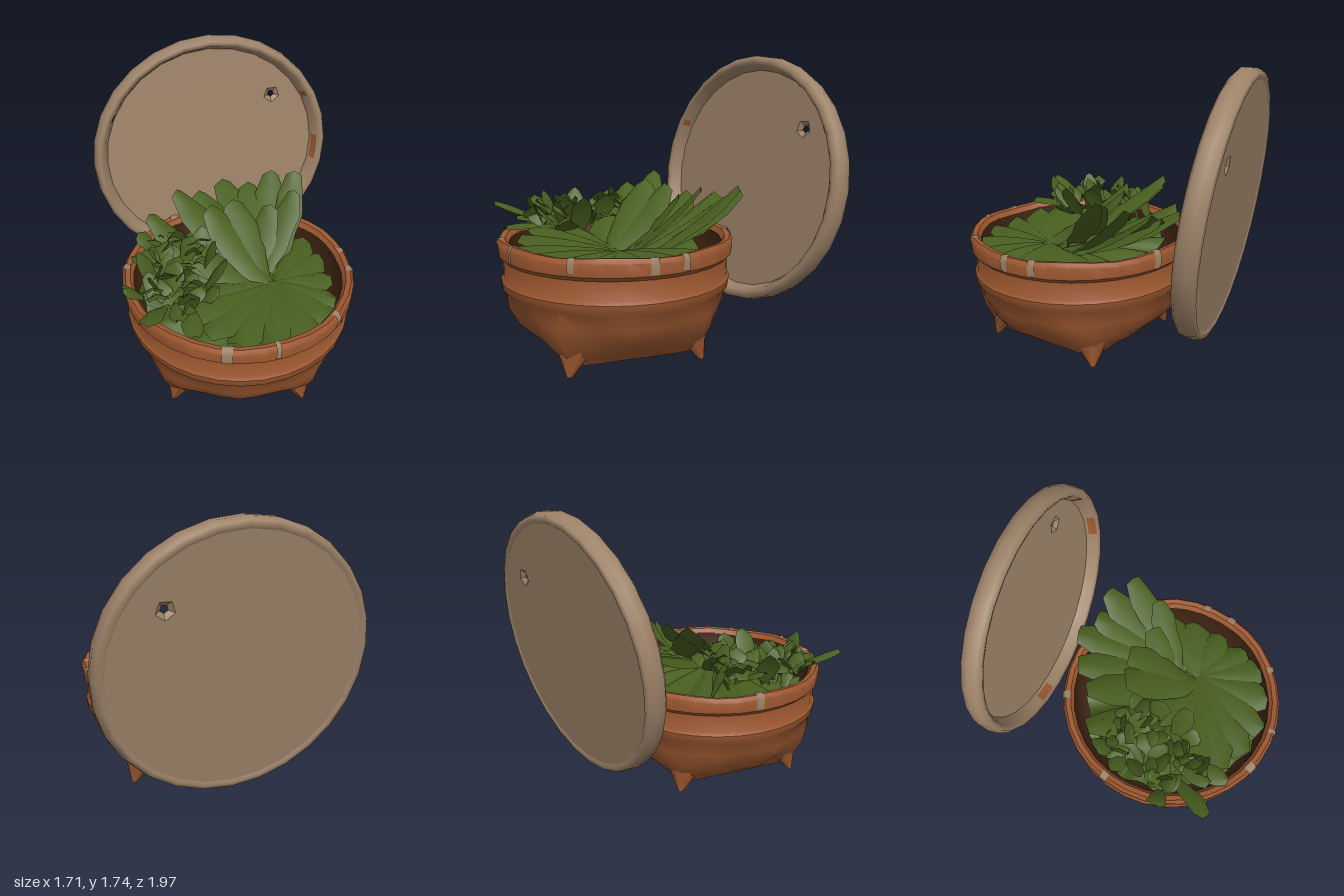
import * as THREE from 'three';
import { toCreasedNormals } from 'three/addons/utils/BufferGeometryUtils.js';

const mat = (name, color) => {
  const m = new THREE.MeshStandardMaterial({ color, side: THREE.DoubleSide });
  m.name = name;
  return m;
};
const V = (x, y, z) => new THREE.Vector3(x, y, z);
const pts = (list) => list.map(([x, y]) => new THREE.Vector2(x, y));
const CORNER = 0.675; // direction of the first foot

export function createModel() {
  const clay = mat('terracotta', 0x9d5830);
  const stone = mat('stone', 0x9d8268);
  const leafGreen = mat('leaf green', 0x485f1f);
  const dark = mat('dark inside', 0x3c2210);

  let seed = 11;
  const rnd = () => (seed = (seed * 16807) % 2147483647) / 2147483647;
  const model = new THREE.Group();
  const add = (parent, name, geo, material) => {
    const mesh = new THREE.Mesh(geo, material);
    mesh.name = name;
    parent.add(mesh);
    return mesh;
  };

  // Blends the round bowl into a square base and makes the lower wall uneven
  const warp = (geo) => {
    const p = geo.attributes.position;
    for (let i = 0; i < p.count; i++) {
      const x = p.getX(i), y = p.getY(i), z = p.getZ(i);
      const a = Math.atan2(z, x), q = Math.PI / 2;
      const d = ((((a - CORNER) % q) + q) % q) - q / 2;
      const t = Math.pow(THREE.MathUtils.clamp((0.4 - y) / 0.35, 0, 1), 2.6);
      const square = Math.min(0.385 / Math.cos(d), 0.52) / 0.45;
      const dent = y < 0.35 && y > 0.07 ? 0.018 * Math.sin(9 * a + 1) : 0;
      const k = (1 - t + t * square) * (1 + dent);
      const lift = y > 0.66 ? 0.006 * Math.sin(7 * a) : 0;
      p.setXYZ(i, x * k, y + lift, z * k);
    }
    geo.computeVertexNormals();
    return toCreasedNormals(geo, 0.7);
  };

  // Pot
  const pot = new THREE.Group();
  pot.name = 'pot';
  pot.position.set(0.16, 0, 0.29);
  model.add(pot);
  const wall = [[0.45, 0.05], [0.525, 0.12], [0.592, 0.2], [0.632, 0.3], [0.65, 0.385], [0.668, 0.405],
    [0.674, 0.45], [0.66, 0.47], [0.66, 0.575], [0.686, 0.6], [0.692, 0.67], [0.675, 0.695], [0.645, 0.69], [0.625, 0.66]];
  const turned = (list) => new THREE.LatheGeometry(pts(list), 32).rotateY(-CORNER);
  add(pot, 'potWall', warp(turned(wall)), clay);
  add(pot, 'potBase', warp(turned([[0, 0.052], [0.45, 0.052]])), stone);
  add(pot, 'potInside', new THREE.LatheGeometry(pts([[0.63, 0.66], [0.61, 0.5], [0.52, 0.4], [0, 0.38]]), 32), dark);

  // Four pointed feet flaring out of the corners of the base
  for (let k = 0; k < 4; k++) {
    const a = CORNER + (k * Math.PI) / 2;
    const geo = new THREE.CylinderGeometry(0.15, 0.016, 0.2, 8, 3);
    const p = geo.attributes.position;
    for (let i = 0; i < p.count; i++) {
      const h = p.getY(i) / 0.2 + 0.5;
      const r = 0.55 - 0.12 * h;
      p.setXYZ(i, p.getX(i) + r * Math.cos(a), h * 0.2, p.getZ(i) + r * Math.sin(a));
    }
    // Keeps the foot from showing below the base
    for (let i = 0; i < p.count; i++) {
      const x = p.getX(i), z = p.getZ(i), y = p.getY(i);
      const out = x * Math.cos(a) + z * Math.sin(a);
      if (out < 0.5 && y > 0.04) p.setY(i, Math.max(y, 0.08));
    }
    geo.computeVertexNormals();
    add(pot, 'foot', geo, clay);
  }

  // Worn patches over the pot rim: direction in x and z, width, lower edge
  const patches = [[0, 0.69, 0.06, 0.602], [0.27, 0.63, 0.028, 0.612], [0.59, 0.35, 0.038, 0.617],
    [0.68, -0.07, 0.047, 0.607], [0.64, -0.25, 0.042, 0.607], [-0.67, 0.06, 0.047, 0.612],
    [-0.48, -0.5, 0.05, 0.612], [0.06, -0.68, 0.05, 0.602]];
  for (const [x, z, w, y] of patches) {
    const len = w / 0.69, a = Math.atan2(z, x);
    const lift = 0.006 * Math.sin(7 * a) + 0.002;
    const geo = new THREE.LatheGeometry(pts([[0.69, y], [0.696, 0.67 + lift], [0.678, 0.698 + lift], [0.645, 0.694 + lift]]),
      2, Math.atan2(x, z) - len / 2, len);
    add(pot, 'rimPatch', geo, stone);
  }

  // Lid leaning behind the pot, its axis along local z, slightly wider than tall
  const lid = new THREE.Group();
  lid.name = 'lid';
  const n = V(0.36, 0.13, 0.925).normalize();
  const u = V(0, 1, 0).cross(n).normalize();
  lid.quaternion.setFromRotationMatrix(new THREE.Matrix4().makeBasis(u, n.clone().cross(u), n));
  lid.position.set(-0.095, 0.962, -0.635);
  lid.scale.x = 1.025;
  model.add(lid);
  const ring = [[0.72, -0.048], [0.745, -0.064], [0.772, -0.055], [0.786, -0.01], [0.78, 0.045],
    [0.755, 0.068], [0.725, 0.058], [0.695, -0.012]];
  add(lid, 'lidRim', new THREE.LatheGeometry(pts(ring), 28).rotateX(Math.PI / 2), stone);
  const face = new THREE.Shape().absarc(0, 0, 0.735, 0, Math.PI * 2);
  const hx = 0.42, hy = 0.34;
  const hole = Array.from({ length: 5 }, (_, i) => {
    const a = (i * Math.PI * 2) / 5;
    return new THREE.Vector2(hx + 0.055 * Math.sin(a), hy - 0.055 * Math.cos(a));
  });
  face.holes.push(new THREE.Path(hole));
  const panel = new THREE.ExtrudeGeometry(face, { depth: 0.043, bevelEnabled: false, curveSegments: 28 });
  add(lid, 'lidPanel', panel.translate(0, 0, -0.053), stone);
  // Broken hole with sloping sides
  const chip = new THREE.LatheGeometry(pts([[0.056, -0.053], [0.023, -0.031], [0.056, -0.01]]), 5);
  add(lid, 'brokenHole', toCreasedNormals(chip.rotateX(Math.PI / 2).translate(hx, hy, 0), 0.3), stone);
  // Clay stains on the inside of the lid rim: angle, length
  for (const [deg, len] of [[-5, 0.17], [28, 0.04], [153, 0.04], [246, 0.14]]) {
    const arc = len / 0.71;
    const geo = new THREE.LatheGeometry(pts([[0.72, 0.059], [0.699, 0.008]]), 4,
      THREE.MathUtils.degToRad(deg + 90) - arc / 2, arc);
    add(lid, 'lidStain', geo.rotateX(Math.PI / 2), clay);
  }

  // Plants
  const plants = new THREE.Group();
  plants.name = 'plants';
  model.add(plants);

  // Low ridged mass of foliage filling the bowl, highest towards the back left
  const mass = new THREE.RingGeometry(0.001, 1, 72, 6).rotateX(-Math.PI / 2);
  const mp = mass.attributes.position;
  for (let i = 0; i < mp.count; i++) {
    const x = mp.getX(i), z = mp.getZ(i), r = Math.hypot(x, z), a = Math.atan2(z, x);
    const edge = 1 + 0.04 * Math.sin(11 * a) + 0.03 * Math.sin(5 * a + 1);
    mp.setXYZ(i, 0.16 + x * 0.575 * edge + 0.15 * (1 - r),
      0.6 - 0.05 * r * r - 0.05 * x - 0.03 * z + 0.035 * r * Math.sin(14 * a),
      0.33 + z * 0.54 * edge);
  }
  mass.computeVertexNormals();
  add(plants, 'foliageMass', mass, leafGreen);

  // A folded, blunt leaf swept from root to tip
  const widths = [0.4, 0.65, 0.85, 1, 0.95, 0.5];
  const leaf = (name, root, tip, w, sag) => {
    const mid = root.clone().lerp(tip, 0.55);
    mid.y -= sag;
    const curve = new THREE.QuadraticBezierCurve3(root, mid, tip);
    const side = tip.clone().sub(root).cross(V(0, 1, 0)).normalize();
    const pos = [], idx = [];
    widths.forEach((f, i) => {
      const c = curve.getPoint(i / (widths.length - 1));
      for (const s of [-1, 0, 1]) {
        const q = c.clone().addScaledVector(side, (s * f * w * (0.85 + 0.3 * rnd())) / 2);
        q.y += s === 0 ? 0.1 * w : -0.14 * f * w;
        pos.push(q.x, q.y, q.z);
      }
      if (i) for (const j of [0, 1]) {
        const b = i * 3 + j, a = b - 3;
        idx.push(a, a + 1, b, b, a + 1, b + 1);
      }
    });
    const geo = new THREE.BufferGeometry();
    geo.setAttribute('position', new THREE.Float32BufferAttribute(pos, 3));
    geo.setIndex(idx);
    geo.computeVertexNormals();
    add(plants, name, geo, leafGreen);
  };

  // Tall broad leaves: root x, z, then tip x, y, z and width
  const tall = [[0.4, 0.3, -0.14, 0.86, -0.24, 0.24], [0.4, 0.25, 0.0, 0.87, -0.38, 0.24], [0.4, 0.25, 0.17, 0.86, -0.38, 0.24],
    [0.35, 0.15, 0.32, 0.93, -0.43, 0.2], [0.4, 0.15, 0.47, 0.98, -0.36, 0.18], [0.3, 0.25, 0.47, 0.98, -0.14, 0.17],
    [0.22, 0.25, 0.33, 0.92, -0.05, 0.19], [0.35, 0.4, 0.1, 0.95, -0.03, 0.24], [0.4, 0.4, -0.03, 0.96, 0.06, 0.24],
    [0.35, 0.35, -0.25, 0.99, -0.05, 0.2], [0.2, 0.4, -0.4, 0.9, 0.1, 0.19], [0.4, 0.45, -0.15, 0.83, 0.22, 0.24]];
  for (const [x, z, tx, ty, tz, w] of tall) leaf('tallLeaf', V(x, 0.59, z), V(tx, ty, tz), w, 0.04);

  // Low leaves spreading to the rim
  const low = [[0.55, 0.63, -0.12], [0.65, 0.62, 0.03], [0.72, 0.61, 0.22], [0.75, 0.6, 0.42], [0.73, 0.6, 0.6], [0.6, 0.61, 0.76],
    [0.4, 0.62, 0.85], [0.2, 0.63, 0.87], [0.02, 0.66, 0.83], [-0.13, 0.69, 0.75], [-0.25, 0.7, 0.6]];
  for (const [x, y, z] of low) leaf('lowLeaf', V(0.4, 0.62, 0.32), V(x, y, z), 0.21, -0.03);

  // Dense cluster of small crinkled leaves at one side
  for (let i = 0; i < 60; i++) {
    const x = -0.36 + 0.34 * rnd(), z = 0.12 + 0.62 * rnd(), a = rnd() * Math.PI * 2;
    const root = V(x, 0.63 + 0.14 * rnd(), z), reach = 0.07 + 0.09 * rnd();
    const tip = V(Math.max(x + reach * Math.cos(a), -0.46), 0.76 + 0.16 * rnd() - 0.04 * (z - 0.1), z + reach * Math.sin(a));
    leaf('smallLeaf', root, tip, 0.07 + 0.08 * rnd(), -0.03);
  }
  // Stray leaves hanging over the rim
  for (const [x, y, z] of [[-0.28, 0.83, 0.97], [-0.12, 0.76, 0.85], [-0.02, 0.72, 0.92], [-0.46, 0.8, 0.4]])
    leaf('strayLeaf', V(x * 0.5 - 0.08, 0.7, z * 0.7), V(x, y, z), 0.11, -0.03);

  return model;
}
